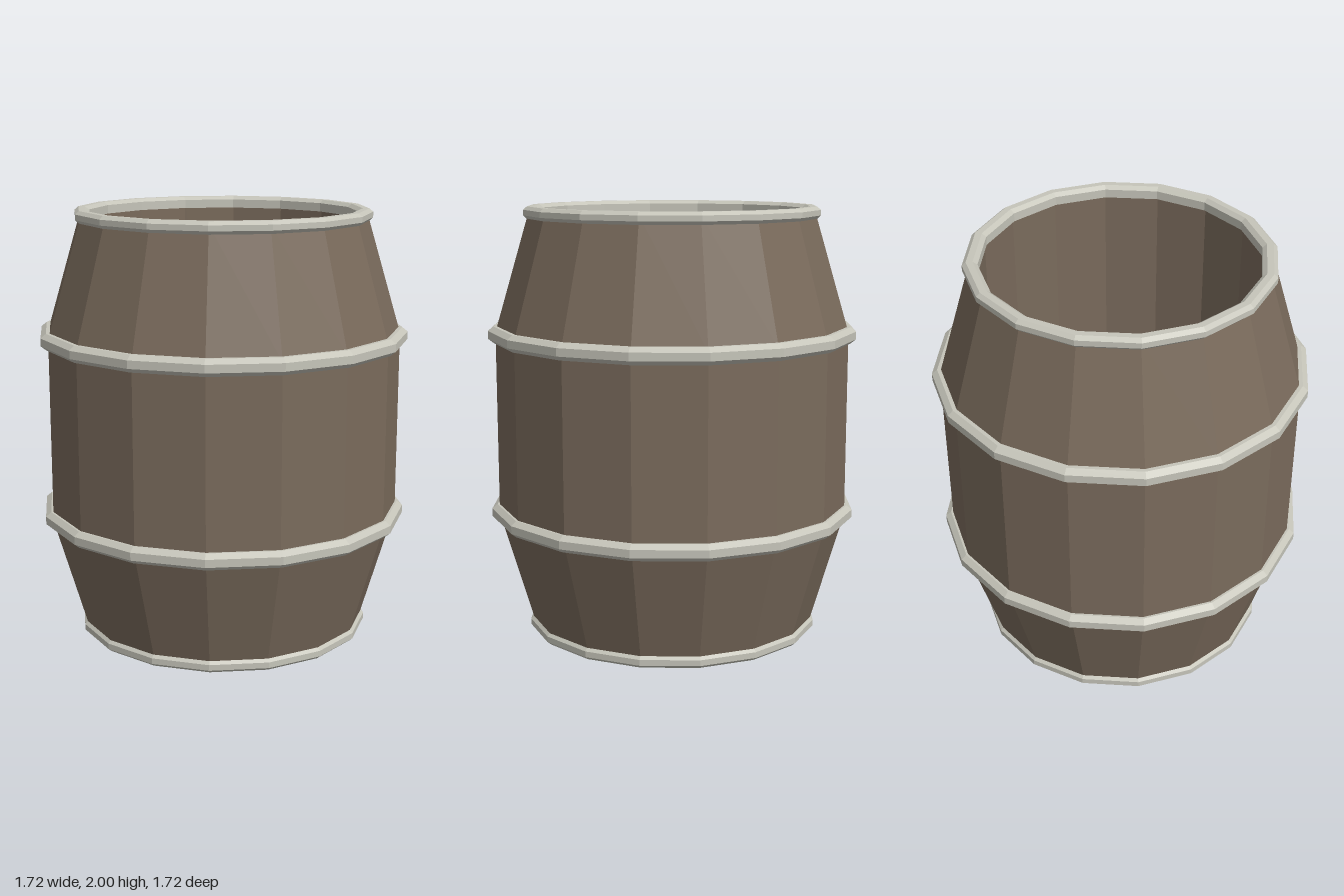
import * as THREE from 'three';

const SIDES = 16;

export function createModel() {
  const wood = new THREE.MeshStandardMaterial({ color: 0x7a6b5c, flatShading: true });
  wood.name = 'brown wood';
  const iron = new THREE.MeshStandardMaterial({ color: 0xc6c5ba, flatShading: true });
  iron.name = 'pale grey metal';

  const barrel = new THREE.Group();
  barrel.name = 'barrel';

  // Sixteen-sided turned part; profile runs up the outside and down the inside
  function turned(name, profile, material, y = 0) {
    const points = profile.map(([r, h]) => new THREE.Vector2(r, h));
    const mesh = new THREE.Mesh(new THREE.LatheGeometry(points, SIDES), material);
    mesh.name = name;
    mesh.position.y = y;
    barrel.add(mesh);
  }

  // Staves: tapered ends, straight middle
  turned('staves', [[0.66, 0.005], [0.825, 0.57], [0.825, 1.43], [0.66, 1.985]], wood);
  // Hollow inside, with its floor
  turned('innerWall', [[0.66, 1.985], [0.63, 1.985], [0.63, 0.08]], wood);
  turned('floor', [[0.63, 0.08], [0, 0.08]], wood);
  turned('base', [[0, 0.005], [0.66, 0.005]], wood);

  // Wide hoops round the belly
  const bellyHoop = [
    [0.8, -0.038], [0.835, -0.038], [0.86, -0.018], [0.86, 0.018],
    [0.835, 0.038], [0.8, 0.038], [0.8, -0.038],
  ];
  turned('lowerHoop', bellyHoop, iron, 0.578);
  turned('upperHoop', bellyHoop, iron, 1.418);

  // Rim hoops at both ends
  turned('topRim', [
    [0.62, 1.945], [0.672, 1.945], [0.688, 1.96], [0.688, 1.985], [0.67, 2],
    [0.64, 2], [0.62, 1.985], [0.62, 1.945],
  ], iron);
  turned('bottomRim', [
    [0.65, 0], [0.67, 0], [0.688, 0.015], [0.688, 0.042], [0.672, 0.058],
    [0.65, 0.058], [0.65, 0],
  ], iron);

  return barrel;
}
